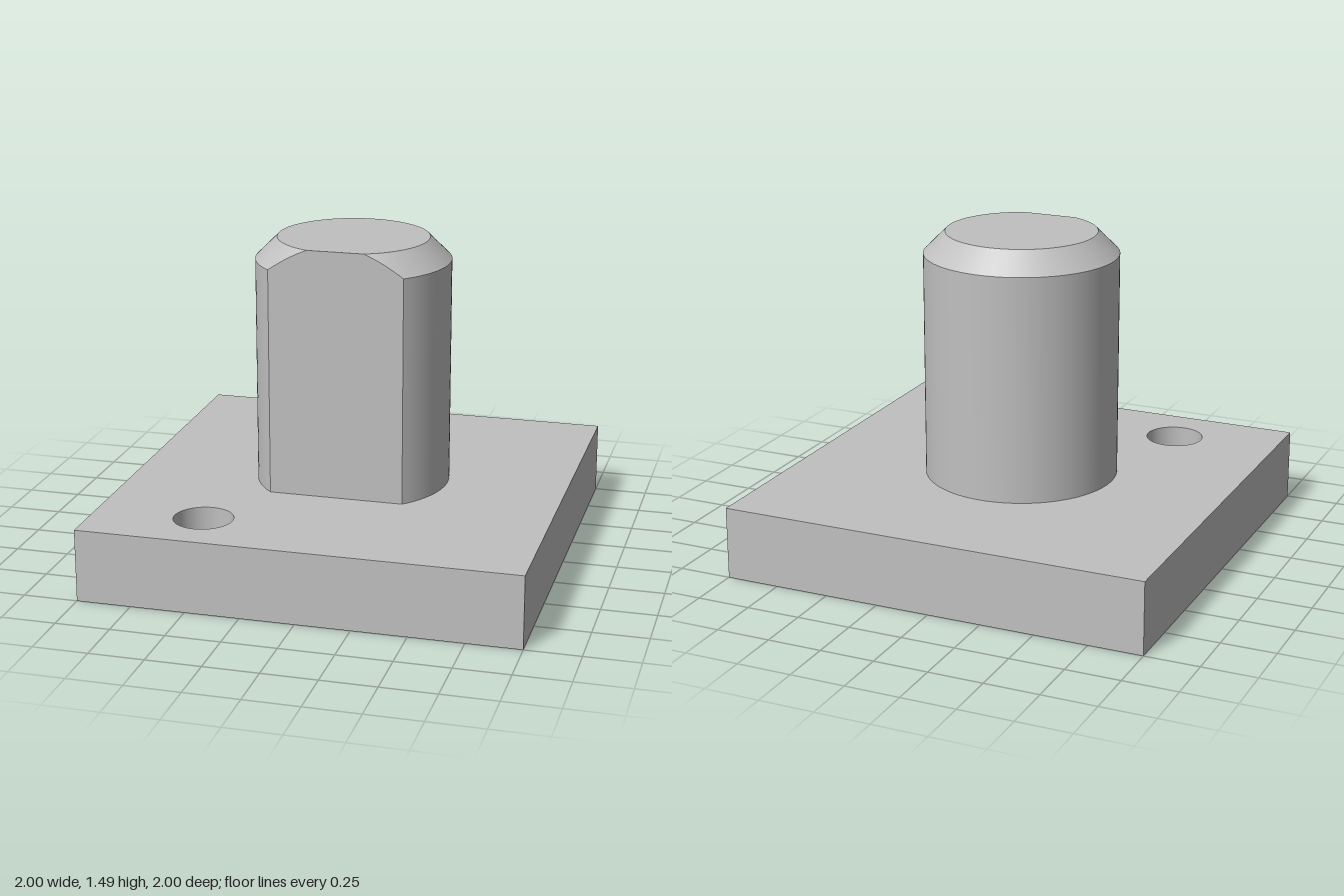
import * as THREE from 'three';
import { toCreasedNormals } from 'three/addons/utils/BufferGeometryUtils.js';
import { ParametricGeometry } from 'three/addons/geometries/ParametricGeometry.js';

const PLATE_TOP = 0.335, SHOULDER = 1.385, TOP = 1.485;
const RADIUS = 0.447, CHAMFER = 0.1, FLAT_Z = 0.322;

export function createModel() {
  const model = new THREE.Group();
  model.name = 'lockingPinPlate';
  const metal = new THREE.MeshStandardMaterial({ color: 0xc0c0c0 });
  metal.name = 'light grey metal';

  function add(parent, name, geometry) {
    const mesh = new THREE.Mesh(geometry, metal);
    mesh.name = name;
    parent.add(mesh);
  }

  // Square base plate with one through hole
  const outline = new THREE.Shape([
    new THREE.Vector2(-1, -1), new THREE.Vector2(1, -1),
    new THREE.Vector2(1, 1), new THREE.Vector2(-1, 1),
  ]);
  outline.holes.push(new THREE.Path().absarc(-0.5, -0.715, 0.135, 0, Math.PI * 2, true));
  const plate = new THREE.ExtrudeGeometry(outline, { depth: PLATE_TOP, bevelEnabled: false, curveSegments: 64 });
  plate.rotateX(-Math.PI / 2);
  add(model, 'basePlate', toCreasedNormals(plate, Math.PI / 6));

  // Round pin with a chamfered top, cut by a flat on the front
  const pin = new THREE.Group();
  pin.name = 'pin';
  model.add(pin);

  const radiusAt = (y) => RADIUS - CHAMFER * Math.max(0, (y - SHOULDER) / (TOP - SHOULDER));

  // Point on the round side, running from one edge of the flat to the other
  function roundPoint(u, y, p) {
    const r = radiusAt(y), start = Math.acos(FLAT_Z / r);
    const t = start + u * 2 * (Math.PI - start);
    return p.set(r * Math.sin(t), y, r * Math.cos(t));
  }

  function flatPoint(u, y, p) {
    const halfWidth = Math.sqrt(radiusAt(y) ** 2 - FLAT_Z ** 2);
    return p.set((2 * u - 1) * halfWidth, y, FLAT_Z);
  }

  function patch(name, pointAt, y0, y1, columns, rows) {
    const geometry = new ParametricGeometry(
      (u, v, p) => pointAt(u, y0 + (y1 - y0) * v, p), columns, rows);
    geometry.computeVertexNormals();
    add(pin, name, geometry);
  }

  patch('pinWall', roundPoint, PLATE_TOP, SHOULDER, 80, 1);
  patch('pinChamfer', roundPoint, SHOULDER, TOP, 80, 10);
  patch('pinFlat', flatPoint, PLATE_TOP, SHOULDER, 1, 1);
  patch('pinFlatTop', flatPoint, SHOULDER, TOP, 1, 10);

  // Cap fans from the arc to the middle of the flat's top edge
  const middle = new THREE.Vector3(0, TOP, FLAT_Z);
  const cap = new ParametricGeometry((u, v, p) => roundPoint(u, TOP, p).lerp(middle, v), 80, 1);
  cap.computeVertexNormals();
  add(pin, 'pinCap', cap);

  return model;
}
